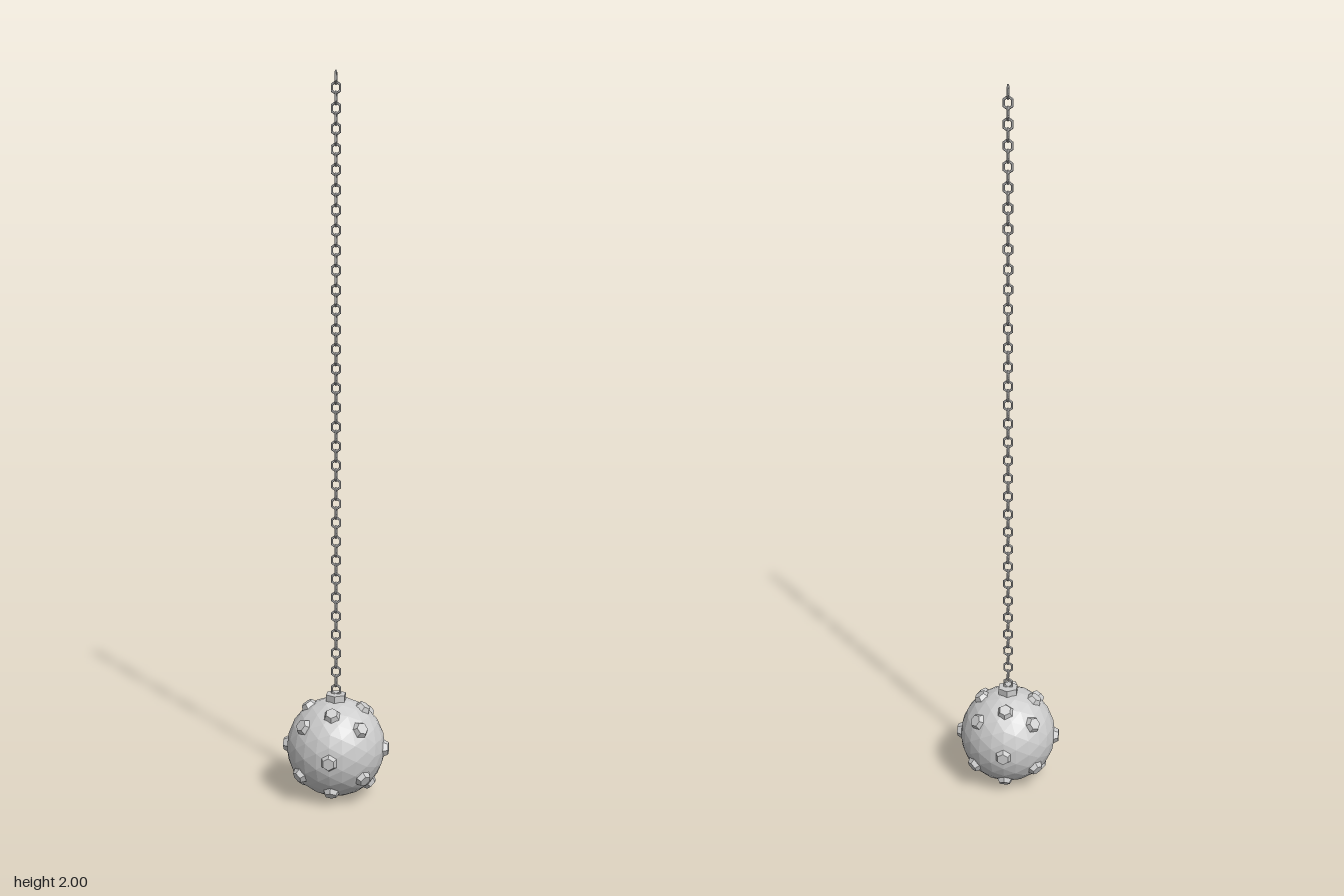
import * as THREE from 'three';

const BALL_Y = 0.14, BALL_R = 0.139;
const UP = new THREE.Vector3(0, 1, 0);

export function createModel() {
  const model = new THREE.Group();
  model.name = 'wreckingBallOnChain';
  const metal = new THREE.MeshStandardMaterial({ color: 0xcccccc, flatShading: true });
  const add = (parent, geometry, name) => {
    const mesh = new THREE.Mesh(geometry, metal);
    mesh.name = name;
    parent.add(mesh);
    return mesh;
  };

  // Faceted ball
  add(model, new THREE.IcosahedronGeometry(BALL_R, 3), 'ball').position.y = BALL_Y;

  // Blunt studs in rings around the ball: [elevation, first azimuth] in degrees
  const studs = new THREE.Group();
  studs.name = 'studs';
  studs.position.y = BALL_Y;
  model.add(studs);
  const studGeometry = new THREE.CylinderGeometry(0.017, 0.027, 0.02, 6);
  const rings = [[56, 0], [35, 45], [0, 0], [-25, 45], [-47, 0]];
  for (const [elevation, start] of rings) {
    for (let i = 0; i < 4; i++) {
      const e = THREE.MathUtils.degToRad(elevation);
      const a = THREE.MathUtils.degToRad(start + i * 90);
      const dir = new THREE.Vector3(Math.cos(e) * Math.sin(a), Math.sin(e), Math.cos(e) * Math.cos(a));
      const stud = add(studs, studGeometry, 'stud');
      stud.quaternion.setFromUnitVectors(UP, dir);
      stud.position.copy(dir).multiplyScalar(0.139);
    }
  }

  // Hexagonal mount on top of the ball
  add(model, new THREE.CylinderGeometry(0.03, 0.03, 0.024, 6), 'chainMount').position.y = 0.281;

  // Chain of pointed links, each turned a quarter from the last
  const chain = new THREE.Group();
  chain.name = 'chain';
  model.add(chain);
  const linkGeometry = new THREE.TorusGeometry(0.0115, 0.003, 6, 6);
  linkGeometry.rotateZ(Math.PI / 2).scale(1.1, 1.38, 1);
  for (let i = 0; i < 64; i++) {
    const link = add(chain, linkGeometry, 'chainLink');
    link.position.y = 1.98 - i * 0.0266;
    link.rotation.y = i % 2 ? 0 : Math.PI / 2;
  }
  return model;
}
